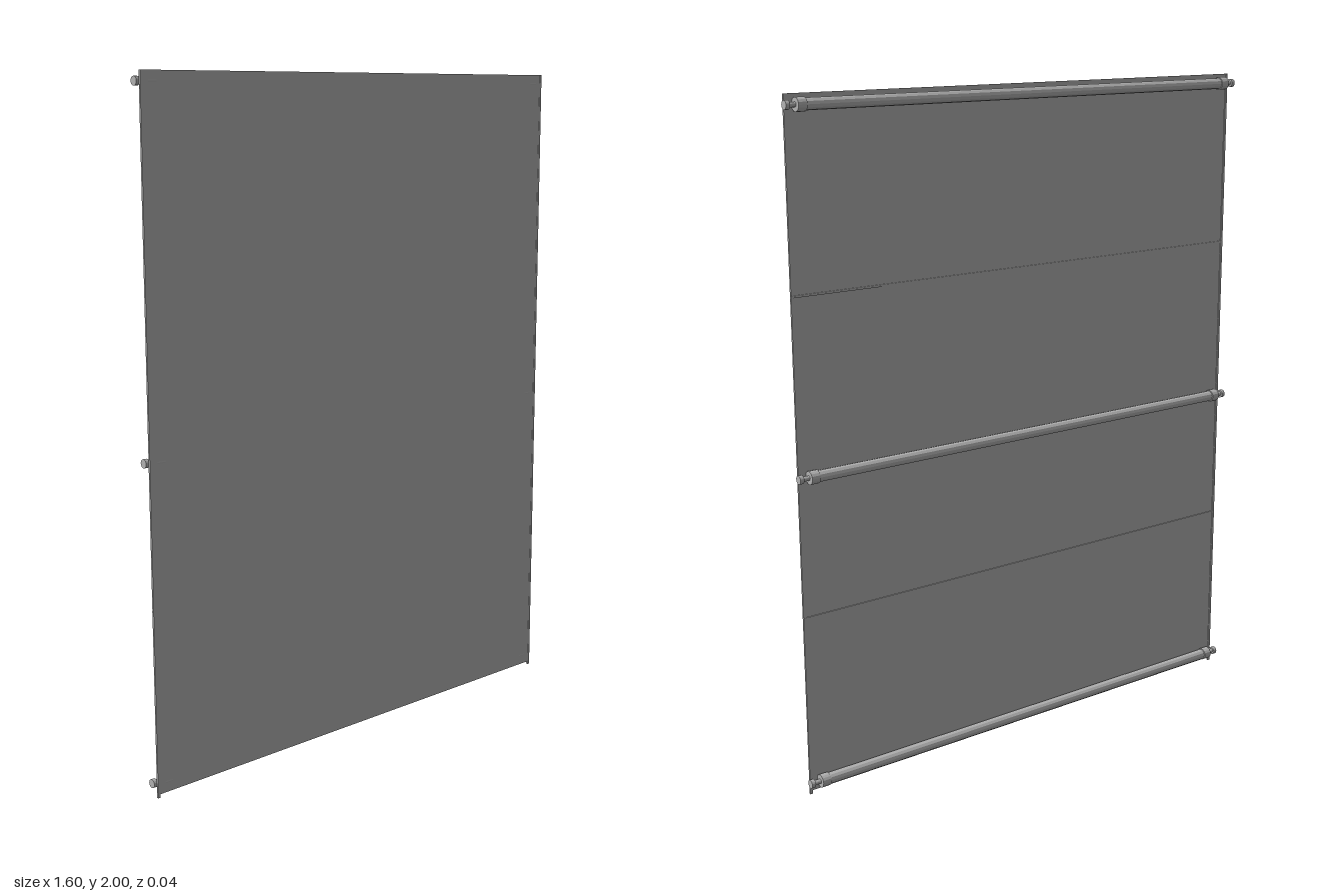
import * as THREE from 'three';

export function createModel() {
  const model = new THREE.Group();
  const grey = new THREE.MeshStandardMaterial({ color: 0xb3b3b3 });
  grey.name = 'grey';

  const box = (name, w, h, d, x, y, z) => {
    const mesh = new THREE.Mesh(new THREE.BoxGeometry(w, h, d), grey);
    mesh.name = name;
    mesh.position.set(x, y, z);
    model.add(mesh);
  };

  // Cylinder lying along x, from x0 to x1
  const bar = (parent, name, radius, x0, x1, sides = 16) => {
    let geometry = new THREE.CylinderGeometry(radius, radius, Math.abs(x1 - x0), sides);
    geometry.rotateZ(Math.PI / 2);
    geometry = geometry.toNonIndexed();
    geometry.computeVertexNormals();
    const mesh = new THREE.Mesh(geometry, grey);
    mesh.name = name;
    mesh.position.x = (x0 + x1) / 2;
    parent.add(mesh);
  };

  // Thin sheet with a narrow edging strip down each side
  box('panel', 1.59, 1.99, 0.003, 0, 1.005, 0.0172);
  for (const side of [-1, 1]) {
    box('edgeStrip', 0.008, 2, 0.006, side * 0.791, 1, 0.0165);
  }

  // Fine battens across the back
  for (const y of [0.545, 1.466]) {
    box('batten', 1.59, 0.006, 0.004, 0, y, 0.0145);
  }

  // Three cross rods with collars, pins and end heads
  for (const y of [0.04, 0.96, 1.972]) {
    const rod = new THREE.Group();
    rod.name = 'crossRod';
    rod.position.y = y;
    bar(rod, 'tube', 0.0165, -0.745, 0.745, 12);
    for (const s of [-1, 1]) {
      bar(rod, 'collar', 0.0193, s * 0.742, s * 0.769);
      bar(rod, 'pin', 0.007, s * 0.768, s * 0.792);
      bar(rod, 'pinHead', 0.0125, s * 0.79, s * 0.802);
    }
    model.add(rod);
  }
  return model;
}
